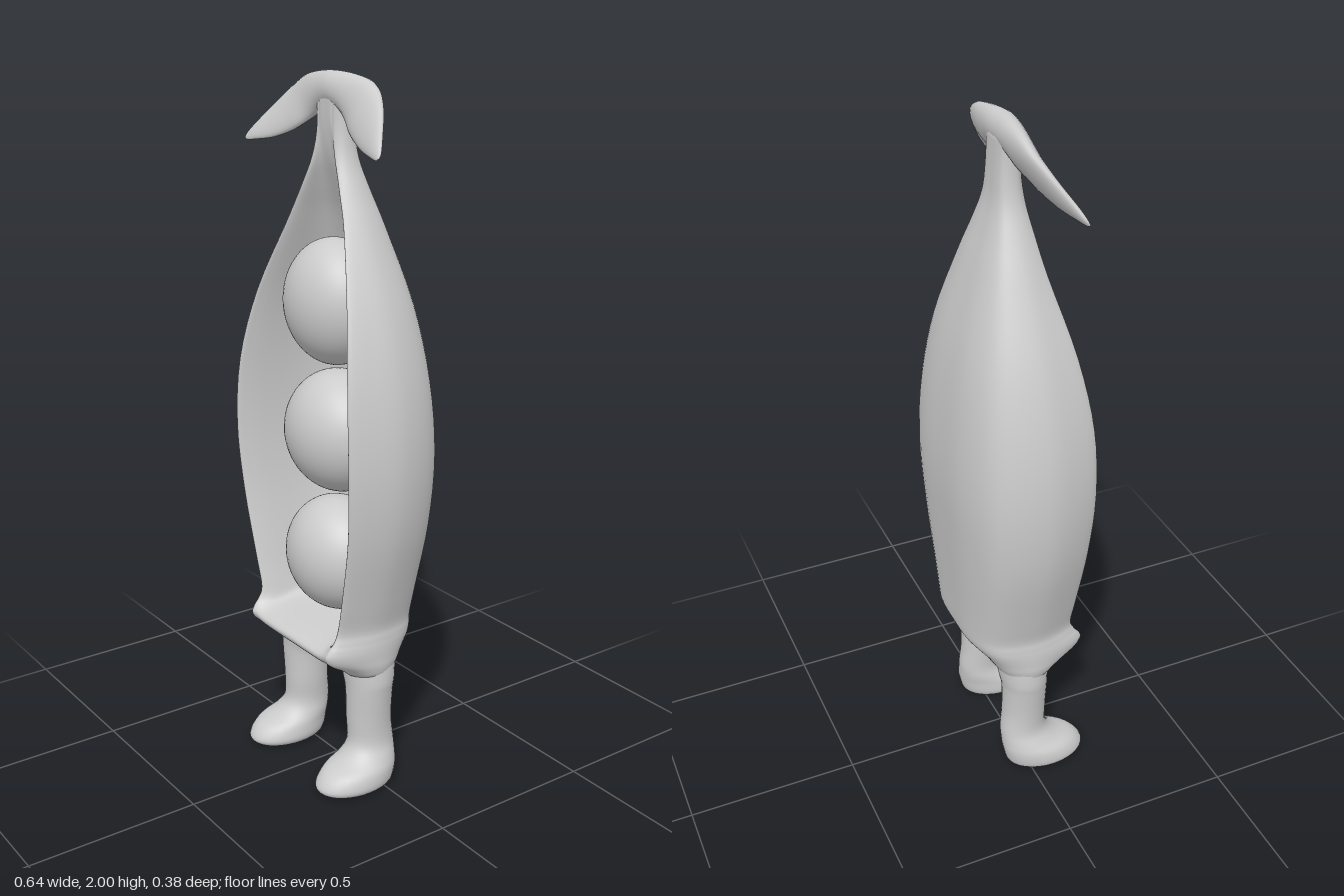
import * as THREE from 'three';

const material = new THREE.MeshStandardMaterial({ color: 0xcccccc });

// Smooth skin over a list of closed rings of Vector3, capped at both ends
function loft(name, rings) {
  const n = rings[0].length, last = rings.length - 1;
  const points = rings.flat(), index = [];
  for (let r = 0; r < last; r++) {
    for (let i = 0; i < n; i++) {
      const j = (i + 1) % n, a = r * n, b = a + n;
      index.push(a + i, a + j, b + i, a + j, b + j, b + i);
    }
  }
  for (const r of [0, last]) {
    const centre = new THREE.Vector3();
    rings[r].forEach((p) => centre.addScaledVector(p, 1 / n));
    const c = points.push(centre) - 1;
    for (let i = 0; i < n; i++) {
      const a = r * n + i, b = r * n + (i + 1) % n;
      if (r === 0) index.push(c, b, a);
      else index.push(c, a, b);
    }
  }
  const geometry = new THREE.BufferGeometry().setFromPoints(points);
  geometry.setIndex(index);
  geometry.computeVertexNormals();
  const mesh = new THREE.Mesh(geometry, material);
  mesh.name = name;
  return mesh;
}

// Smoothly resample rows of numbers, keeping every given row
function smoothRows(rows, steps) {
  const columns = rows[0].map((_, c) => new THREE.CatmullRomCurve3(
    rows.map((row) => new THREE.Vector3(row[c], 0, 0)), false, 'catmullrom', 0.5));
  const count = (rows.length - 1) * steps;
  return Array.from({ length: count + 1 }, (_, k) =>
    columns.map((curve) => curve.getPoint(k / count).x));
}

// C-shaped cross-section: cavity, rolled lip, flank and rounded back
function podRing([y, w, lipX, lipZ, cavityZ, backZ]) {
  const mix = THREE.MathUtils.lerp;
  const half = [
    [lipX * 0.78, mix(cavityZ, lipZ, 0.12)],
    [lipX, mix(cavityZ, lipZ, 0.85)],
    [mix(lipX, w, 0.3), lipZ],
    [w * 0.95, lipZ * 0.6],
    [w, 0],
    [w * 0.86, backZ * 0.68],
    [w * 0.5, backZ * 0.95],
  ];
  const loop = [[0, cavityZ], ...half, [0, backZ],
    ...half.slice().reverse().map(([x, z]) => [-x, z])];
  const curve = new THREE.CatmullRomCurve3(
    loop.map(([x, z]) => new THREE.Vector3(x, y, z)), true, 'centripetal');
  return curve.getPoints(80).slice(0, 80);
}

function createPod() {
  // height, half width, lip x, lip z, cavity z, back z
  const rows = [
    [0.33, 0.17, 0.10, 0.05, 0.05, -0.05],
    [0.35, 0.222, 0.15, 0.075, 0.08, -0.075],
    [0.38, 0.235, 0.165, 0.11, 0.115, -0.095],
    [0.41, 0.236, 0.175, 0.155, 0.16, -0.115],
    [0.435, 0.236, 0.175, 0.172, 0.165, -0.135],
    [0.455, 0.235, 0.175, 0.165, 0.11, -0.15],
    [0.475, 0.233, 0.175, 0.15, 0.0, -0.158],
    [0.51, 0.232, 0.178, 0.137, -0.10, -0.162],
    [0.60, 0.255, 0.20, 0.14, -0.125, -0.167],
    [0.80, 0.304, 0.24, 0.15, -0.14, -0.18],
    [1.00, 0.32, 0.255, 0.16, -0.145, -0.188],
    [1.20, 0.30, 0.243, 0.154, -0.135, -0.176],
    [1.40, 0.245, 0.20, 0.122, -0.105, -0.145],
    [1.60, 0.157, 0.122, 0.073, -0.045, -0.09],
    [1.70, 0.108, 0.078, 0.055, -0.005, -0.058],
    [1.78, 0.073, 0.045, 0.043, 0.025, -0.036],
    [1.86, 0.06, 0.03, 0.037, 0.038, -0.028],
    [1.96, 0.06, 0.03, 0.037, 0.04, -0.022],
  ];
  return loft('pod', smoothRows(rows, 4).map(podRing));
}

function createLeg(name, side) {
  // height, centre x, radius x, centre z, radius z
  const rows = [
    [0.0, 0.175, 0.055, 0.06, 0.09],
    [0.006, 0.176, 0.075, 0.063, 0.115],
    [0.025, 0.176, 0.086, 0.064, 0.125],
    [0.06, 0.175, 0.083, 0.047, 0.115],
    [0.09, 0.169, 0.072, 0.016, 0.086],
    [0.13, 0.163, 0.06, 0.0, 0.071],
    [0.20, 0.16, 0.062, 0.003, 0.067],
    [0.29, 0.162, 0.069, 0.004, 0.068],
    [0.33, 0.157, 0.078, 0.002, 0.072],
    [0.40, 0.145, 0.085, 0.0, 0.08],
  ];
  return loft(name, smoothRows(rows, 4).map(([y, cx, rx, cz, rz]) =>
    Array.from({ length: 32 }, (_, i) => {
      const a = i / 32 * Math.PI * 2;
      return new THREE.Vector3(side * cx + rx * Math.sin(a), y, cz + rz * Math.cos(a));
    })));
}

function createLeaves() {
  // centre x, y, z, half breadth, half thickness, from the stem to a tip
  const half = [
    [0.06, 1.947, 0.01, 0.05, 0.033],
    [0.115, 1.925, 0.013, 0.062, 0.029],
    [0.165, 1.893, 0.028, 0.062, 0.024],
    [0.22, 1.857, 0.052, 0.047, 0.018],
    [0.27, 1.828, 0.077, 0.025, 0.012],
    [0.297, 1.812, 0.09, 0.011, 0.006],
    [0.304, 1.808, 0.094, 0.002, 0.002],
  ];
  const rows = smoothRows([
    ...half.slice().reverse().map(([x, ...rest]) => [-x, ...rest]),
    [0, 1.955, 0.011, 0.045, 0.035],
    ...half,
  ], 5);
  return loft('leaves', rows.map(([x, y, z, breadth, thick], k) => {
    const p = rows[Math.max(k - 1, 0)], q = rows[Math.min(k + 1, rows.length - 1)];
    const normal = new THREE.Vector3(p[1] - q[1], q[0] - p[0], 0).normalize();
    const tilt = Math.min(Math.abs(x) * 2, 0.3);
    return Array.from({ length: 24 }, (_, i) => {
      const a = i / 24 * Math.PI * 2, b = breadth * Math.cos(a);
      return new THREE.Vector3(x, y, z - tilt * b + thick * Math.sin(a)).addScaledVector(normal, b);
    });
  }));
}

export function createModel() {
  const model = new THREE.Group();
  model.name = 'peaPod';
  model.add(createPod(), createLeaves());
  model.add(createLeg('leftLeg', 1), createLeg('rightLeg', -1));

  // Peas: height, half width, half height, z, half depth
  const peas = [
    [1.39, 0.163, 0.175, 0.006, 0.132],
    [1.02, 0.176, 0.175, -0.01, 0.147],
    [0.653, 0.17, 0.168, -0.005, 0.142],
  ];
  const sphere = new THREE.SphereGeometry(1, 48, 32);
  peas.forEach(([y, rx, ry, z, rz], i) => {
    const pea = new THREE.Mesh(sphere, material);
    pea.name = ['topPea', 'middlePea', 'bottomPea'][i];
    pea.position.set(-0.003, y, z);
    pea.scale.set(rx, ry, rz);
    model.add(pea);
  });
  return model;
}
